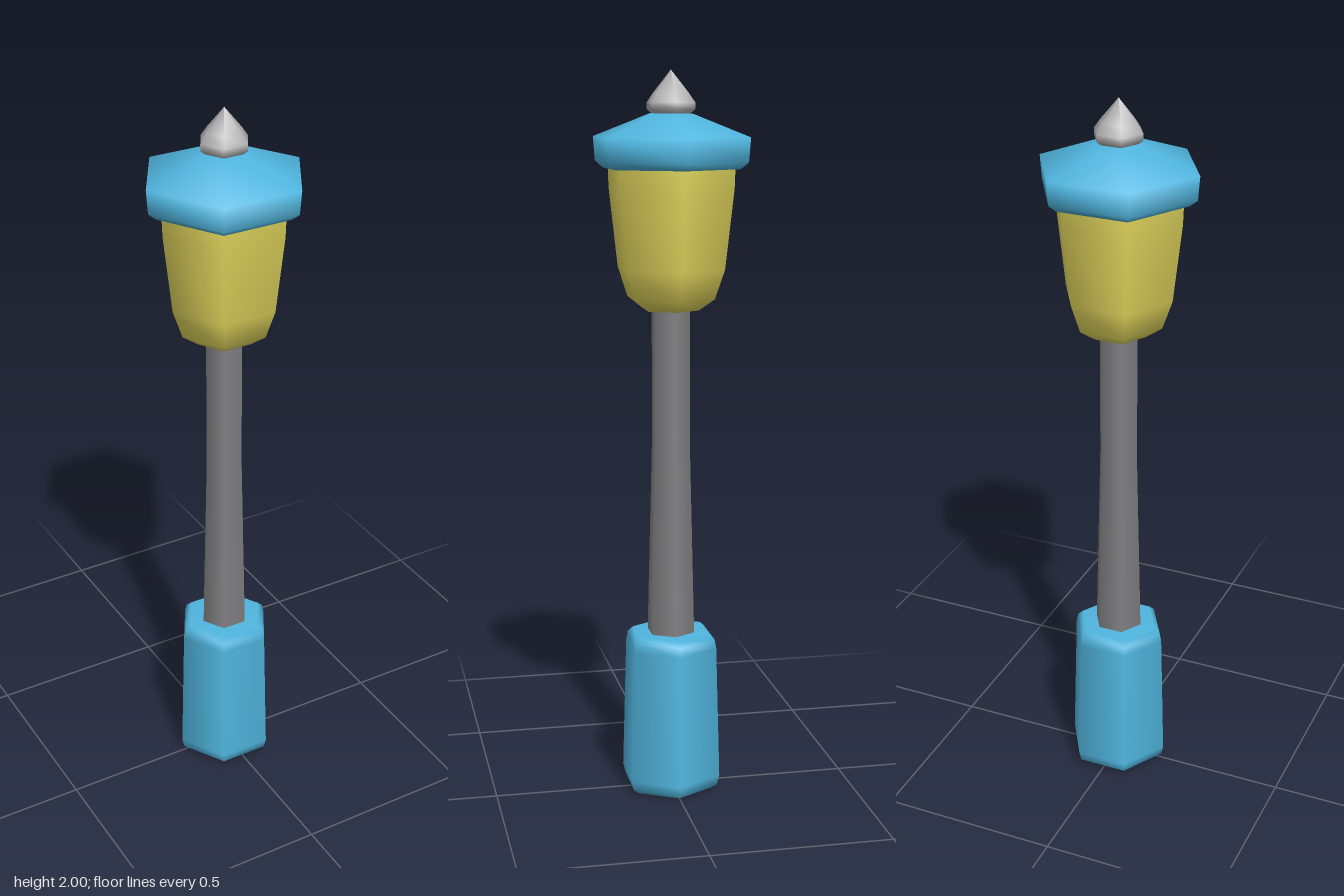
import * as THREE from 'three';

const mat = (name, color) => new THREE.MeshStandardMaterial({ name, color });

// Smooth six-sided turned part, with corners on the x axis; profile runs bottom to top as [radius, y]
function hexTurned(name, profile, material) {
  const points = profile.map(([r, y]) => new THREE.Vector2(r, y));
  const mesh = new THREE.Mesh(new THREE.LatheGeometry(points, 6, Math.PI / 2), material);
  mesh.name = name;
  return mesh;
}

export function createModel() {
  const blue = mat('blue paint', 0x50b5de);
  const yellow = mat('yellow glass', 0xe0d55c);
  const darkGrey = mat('dark grey metal', 0x808082);
  const lightGrey = mat('light grey metal', 0xb2b2b2);

  const group = new THREE.Group();
  group.name = 'streetLamp';
  group.add(
    // Footing with bevelled rims
    hexTurned('base', [[0, 0], [0.122, 0], [0.138, 0.012], [0.145, 0.04],
      [0.134, 0.415], [0.129, 0.44], [0.113, 0.455], [0, 0.455]], blue),
    // Slightly waisted post
    hexTurned('pole', [[0.069, 0.44], [0.067, 0.53], [0.055, 1.0], [0.055, 1.38]], darkGrey),
    // Tapered lantern glass
    hexTurned('lantern', [[0, 1.363], [0.08, 1.363], [0.125, 1.395], [0.153, 1.475],
      [0.178, 1.69], [0.18, 1.745]], yellow),
    // Overhanging cap
    hexTurned('roof', [[0, 1.742], [0.195, 1.742], [0.217, 1.76], [0.222, 1.825],
      [0.06, 1.886], [0, 1.89]], blue),
    // Pointed knob
    hexTurned('finial', [[0, 1.882], [0.052, 1.884], [0.068, 1.897], [0.068, 1.915],
      [0.05, 1.94], [0, 2]], lightGrey),
  );
  return group;
}
